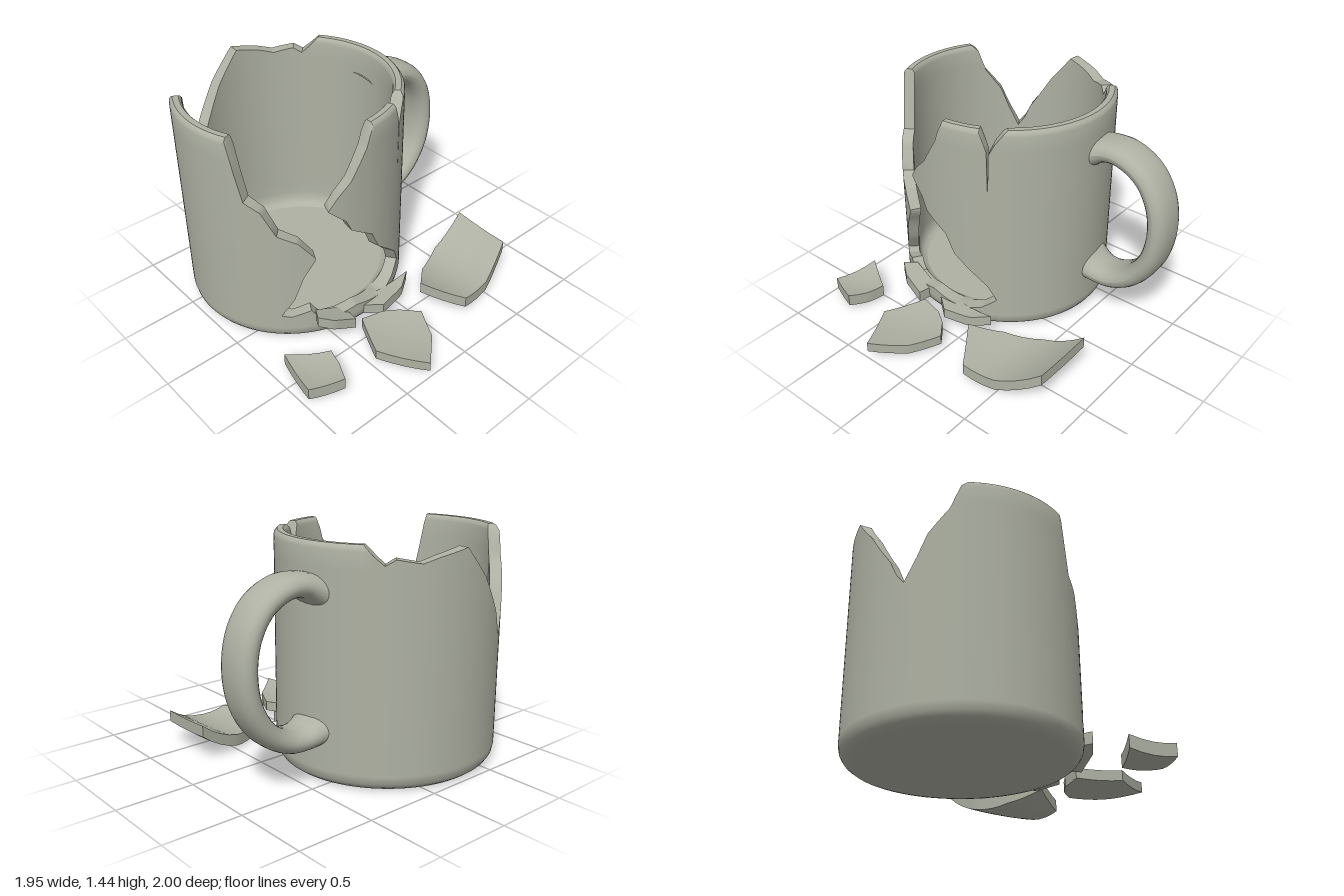
import * as THREE from 'three';
import { toCreasedNormals } from 'three/addons/utils/BufferGeometryUtils.js';

const { clamp, degToRad } = THREE.MathUtils;

// Non-indexed geometry from quads and triangles of Vector3, with sharp broken edges
function faceted(faces, crease) {
  const pos = [];
  const tri = (a, b, c) => {
    if (a.distanceTo(b) < 1e-5 || b.distanceTo(c) < 1e-5 || a.distanceTo(c) < 1e-5) return;
    for (const p of [a, b, c]) pos.push(p.x, p.y, p.z);
  };
  for (const [a, b, c, d] of faces) {
    tri(a, b, c);
    if (d) tri(a, c, d);
  }
  const g = new THREE.BufferGeometry();
  g.setAttribute('position', new THREE.Float32BufferAttribute(pos, 3));
  return toCreasedNormals(g, crease);
}

// Piecewise linear profile over angle: [[degrees, height], ...]
function profile(points) {
  return (a) => {
    for (let i = 1; i < points.length; i++) {
      const [a0, y0] = points[i - 1], [a1, y1] = points[i];
      if (a <= a1) return y0 + (y1 - y0) * clamp((a - a0) / (a1 - a0), 0, 1);
    }
    return points[points.length - 1][1];
  };
}

// Wall cross-section: rounded foot and rim outside, small fillet inside
function outerRadius(y) {
  if (y < 0.09) return 0.62 + 0.08 * Math.sqrt(1 - ((0.09 - y) / 0.09) ** 2);
  return 0.7 - 0.022 * (Math.max(0, y - 1.405) / 0.035) ** 2;
}
function innerRadius(y) {
  if (y < 0.2) return 0.57 + 0.055 * Math.sqrt(1 - ((0.2 - Math.max(y, 0.1)) / 0.1) ** 2);
  return 0.625 + 0.018 * (Math.max(0, y - 1.405) / 0.035) ** 2;
}

const levels = [0, 0.008, 0.025, 0.05, 0.09, 0.1, 0.115, 0.14, 0.17, 0.2];
for (let y = 0.3; y < 1.4; y += 0.1) levels.push(y);
levels.push(1.405, 1.42, 1.432, 1.44);

// Curved stretch of wall between a lower and an upper broken edge
function wallPanel(low, high) {
  const start = high[0][0], end = high[high.length - 1][0];
  const angles = [...low, ...high].map((p) => p[0]);
  for (let a = Math.ceil(start / 3) * 3; a < end; a += 3) angles.push(a);
  const columns = [...new Set(angles)].sort((a, b) => a - b);
  const lo = profile(low), hi = profile(high);
  const rings = columns.map((deg) => {
    const t = degToRad(deg);
    const ys = levels.map((y) => clamp(y, lo(deg), hi(deg)));
    const at = (r, y) => new THREE.Vector3(r * Math.sin(t), y, r * Math.cos(t));
    return [...ys.map((y) => at(outerRadius(y), y)), ...ys.reverse().map((y) => at(innerRadius(y), y))];
  });
  const faces = [], n = rings[0].length;
  for (let i = 0; i + 1 < rings.length; i++) {
    for (let j = 0; j < n; j++) {
      const k = (j + 1) % n;
      faces.push([rings[i][j], rings[i + 1][j], rings[i + 1][k], rings[i][k]]);
    }
  }
  const first = rings[0], last = rings[rings.length - 1];
  for (let j = 0; j < n / 2 - 1; j++) {
    faces.push([first[j], first[j + 1], first[n - 2 - j], first[n - 1 - j]]);
    faces.push([last[n - 1 - j], last[n - 2 - j], last[j + 1], last[j]]);
  }
  return faceted(faces, 0.6);
}

// Curved loose piece: outline in x, z and a height rule for its underside
function shardGeometry(outline, height, thickness) {
  const edge = [];
  outline.forEach(([x, z], i) => {
    const [x2, z2] = outline[(i + 1) % outline.length];
    for (let s = 0; s < 4; s++) edge.push([x + (x2 - x) * s / 4, z + (z2 - z) * s / 4]);
  });
  let area = 0;
  outline.forEach(([x, z], i) => {
    const [x2, z2] = outline[(i + 1) % outline.length];
    area += x * z2 - x2 * z;
  });
  if (area > 0) edge.reverse();
  const cx = outline.reduce((s, p) => s + p[0], 0) / outline.length;
  const cz = outline.reduce((s, p) => s + p[1], 0) / outline.length;
  const point = (i, f, lift) => {
    const [ex, ez] = edge[i % edge.length];
    const x = cx + (ex - cx) * f, z = cz + (ez - cz) * f;
    return new THREE.Vector3(x, height(x, z) + lift, z);
  };
  const faces = [], steps = 5;
  for (let i = 0; i < edge.length; i++) {
    for (let s = 0; s < steps; s++) {
      const a = s / steps, b = (s + 1) / steps;
      faces.push([point(i, a, thickness), point(i, b, thickness), point(i + 1, b, thickness), point(i + 1, a, thickness)]);
      faces.push([point(i, a, 0), point(i + 1, a, 0), point(i + 1, b, 0), point(i, b, 0)]);
    }
    faces.push([point(i, 1, 0), point(i + 1, 1, 0), point(i + 1, 1, thickness), point(i, 1, thickness)]);
  }
  return faceted(faces, 0.5);
}

// Flat-sided loop handle, flared where it meets the wall
function handleGeometry() {
  const path = new THREE.CatmullRomCurve3([
    [0.39, 1.16], [0.5, 1.2], [0.62, 1.2], [0.77, 1.125], [0.87, 0.98], [0.907, 0.78],
    [0.87, 0.56], [0.76, 0.39], [0.62, 0.305], [0.5, 0.295], [0.39, 0.33],
  ].map(([x, y]) => new THREE.Vector3(x, y, 0)));
  const segments = 64, sides = 24;
  const g = new THREE.TubeGeometry(path, segments, 0.071, sides);
  const p = g.attributes.position, v = new THREE.Vector3();
  for (let i = 0; i < p.count; i++) {
    const u = Math.floor(i / (sides + 1)) / segments;
    const c = path.getPointAt(u);
    const flare = 1 + 0.35 * Math.max(0, 1 - Math.min(u, 1 - u) / 0.1) ** 2;
    v.fromBufferAttribute(p, i).sub(c).multiplyScalar(flare);
    const w = v.z / 0.071;
    p.setXYZ(i, c.x + v.x, c.y + v.y, Math.sign(w) * Math.abs(w) ** 0.75 * 0.132);
  }
  g.computeVertexNormals();
  return g;
}

export function createModel() {
  const model = new THREE.Group();
  model.name = 'brokenMug';
  const clay = new THREE.MeshStandardMaterial({ color: 0xaeb1a3, side: THREE.DoubleSide });
  clay.name = 'grey clay';
  const add = (parent, name, geometry) => {
    const mesh = new THREE.Mesh(geometry, clay);
    mesh.name = name;
    parent.add(mesh);
    return mesh;
  };

  // Mug body
  const body = new THREE.Group();
  body.name = 'mugBody';
  body.position.set(-0.265, 0, -0.315);
  body.scale.set(1.015, 1, 0.98);
  model.add(body);

  const floor = [[0, 0], [0.62, 0], [0.62, 0.1], [0, 0.1]].map(([x, y]) => new THREE.Vector2(x, y));
  add(body, 'floor', toCreasedNormals(new THREE.LatheGeometry(floor, 96), 0.6));

  add(body, 'mainWall', wallPanel([[33, 0], [315, 0]], [
    [33, 1.36], [37, 1.42], [39, 1.44], [125, 1.44], [130, 1.38], [135, 1.33], [140, 1.365], [152, 1.34],
    [160, 1.37], [175, 1.41], [180, 1.34], [189, 1.22], [197, 1.08], [203, 0.98], [207, 0.88], [211, 0.82],
    [217, 0.96], [222, 1.1], [232, 1.25], [237, 1.4], [241, 1.44], [293, 1.44], [297, 1.2], [300, 1.04],
    [308, 0.98], [315, 0.82],
  ]));
  add(body, 'leftBrokenWall', wallPanel(
    [[315, 0.2], [322, 0.33], [327, 0.5], [333, 0.62]],
    [[315, 0.82], [325, 0.76], [333, 0.64]]));
  add(body, 'frontBrokenWall', wallPanel(
    [[-20, 0.95], [-11, 0.85], [-8, 0.77], [5, 0.66], [10, 0.53], [20, 0.42], [28, 0.33], [33, 0.22]],
    [[-20, 0.96], [-15, 1.04], [-8, 1.12], [1, 1.3], [5, 1.44], [25, 1.44], [27, 1.36], [28.6, 1.3],
      [29, 0.93], [29.4, 1.28], [33, 1.36]]));
  add(body, 'frontLowerWall', wallPanel([[-45, 0], [33, 0]], [
    [-45, 0.2], [-40, 0.19], [-30, 0.23], [-25, 0.15], [-15, 0.14], [-5, 0.16], [5, 0.13], [15, 0.11],
    [25, 0.15], [33, 0.22],
  ]));

  add(model, 'handle', handleGeometry()).position.z = -0.38;

  // Loose pieces on the ground
  add(model, 'rightShard', shardGeometry(
    [[0.1, 0.51], [0.27, 0.36], [0.5, 0.26], [0.78, 0.22], [0.77, 0.63], [0.5, 0.73], [0.27, 0.755]],
    (x, z) => 0.008 + 1.05 * (x - 0.4) ** 2 + 0.15 * (z - 0.5) ** 2, 0.075));
  add(model, 'middleShard', shardGeometry(
    [[-0.35, 0.44], [-0.2, 0.47], [-0.11, 0.53], [-0.02, 0.64], [-0.12, 0.83], [-0.31, 1], [-0.47, 0.7]],
    (x, z) => 0.012 + 0.45 * (x + 0.24) ** 2 + 0.4 * (z - 0.68) ** 2, 0.065));
  add(model, 'leftShard', shardGeometry(
    [[-0.91, 0.37], [-0.67, 0.52], [-0.7, 0.63], [-0.76, 0.75], [-0.97, 0.67]],
    (x, z) => 0.005 + 0.8 * ((x + 0.82) ** 2 + (z - 0.57) ** 2), 0.08));

  // Small chips leaning at the broken foot
  add(model, 'leftChip', shardGeometry(
    [[-0.63, 0.35], [-0.55, 0.41], [-0.4, 0.44], [-0.38, 0.3], [-0.58, 0.27]],
    (x) => 0.06 - 0.4 * (x + 0.4), 0.075));
  add(model, 'rightChip', shardGeometry(
    [[-0.27, 0.37], [-0.17, 0.45], [0.03, 0.41], [0.14, 0.34], [-0.2, 0.32]],
    (x) => 0.05 + 0.2 * Math.max(0, x), 0.07));

  return model;
}
